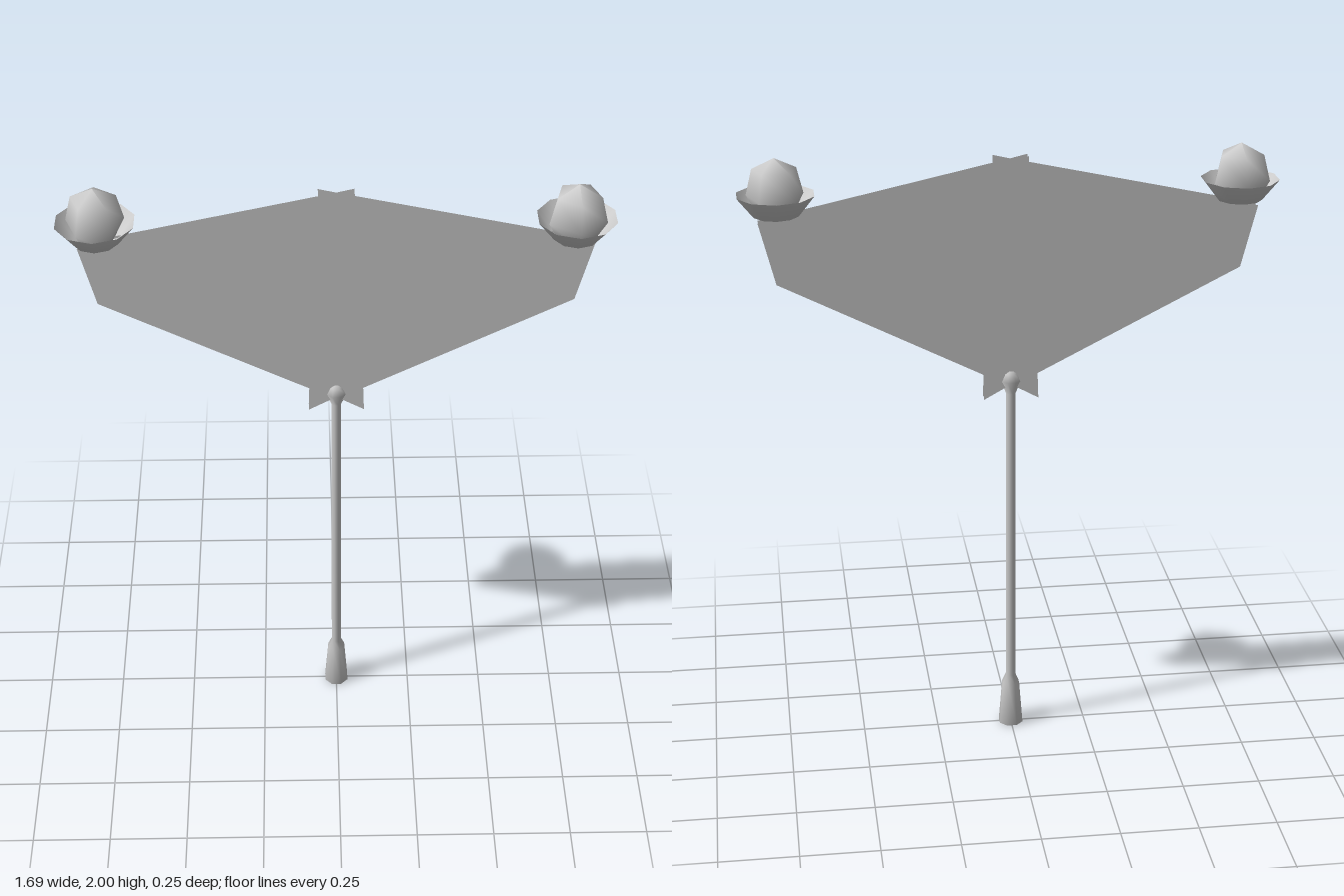
import * as THREE from 'three';

const smooth = new THREE.MeshStandardMaterial({ color: 0xcccccc, side: THREE.DoubleSide });

function lathe(name, points, sides, start = 0) {
  const profile = points.map(([r, y]) => new THREE.Vector2(r, y));
  const mesh = new THREE.Mesh(new THREE.LatheGeometry(profile, sides, start), smooth);
  mesh.name = name;
  return mesh;
}

export function createModel() {
  const model = new THREE.Group();
  model.name = 'bannerPole';

  // Slender pole with a flared foot and a small knob
  model.add(lathe('pole', [
    [0, 0], [0.042, 0], [0.03, 0.15], [0.017, 0.18], [0.016, 1.2],
    [0.034, 1.245], [0.026, 1.27], [0.012, 1.284], [0, 1.284],
  ], 8, Math.PI / 8));

  // Kite-shaped sheet, mirrored about its centre line
  const half = [
    [0, 1.97], [0.055, 1.983], [0.055, 1.958], [0.783, 1.8],
    [0.733, 1.6], [0.085, 1.27], [0.088, 1.186], [0, 1.235],
  ];
  const mirrored = half.slice(1, -1).reverse().map(([x, y]) => [-x, y]);
  const outline = [...half, ...mirrored].map(([x, y]) => new THREE.Vector2(x, y));
  const sheet = new THREE.ShapeGeometry(new THREE.Shape(outline));

  // Two parallel sheets with open edges, front and back
  for (const [name, z] of [['frontPanel', 0.015], ['backPanel', -0.015]]) {
    const panel = new THREE.Mesh(sheet, smooth);
    panel.name = name;
    panel.position.z = z;
    model.add(panel);
  }

  // An open bowl holding a five-sided bulb at each upper corner
  for (const side of [-1, 1]) {
    const lamp = new THREE.Group();
    lamp.name = side > 0 ? 'leftLamp' : 'rightLamp';
    lamp.position.set(side * 0.725, 1.8, 0);
    const bowl = lathe('bowl', [[0, 0], [0.072, 0.02], [0.124, 0.086]], 10);
    const bulb = lathe('bulb', [
      [0, 0.015], [0.06, 0.02], [0.093, 0.08], [0.072, 0.163], [0, 0.2],
    ], 5, side > 0 ? 0.04 : Math.PI + 0.04);
    lamp.add(bowl, bulb);
    model.add(lamp);
  }
  return model;
}
